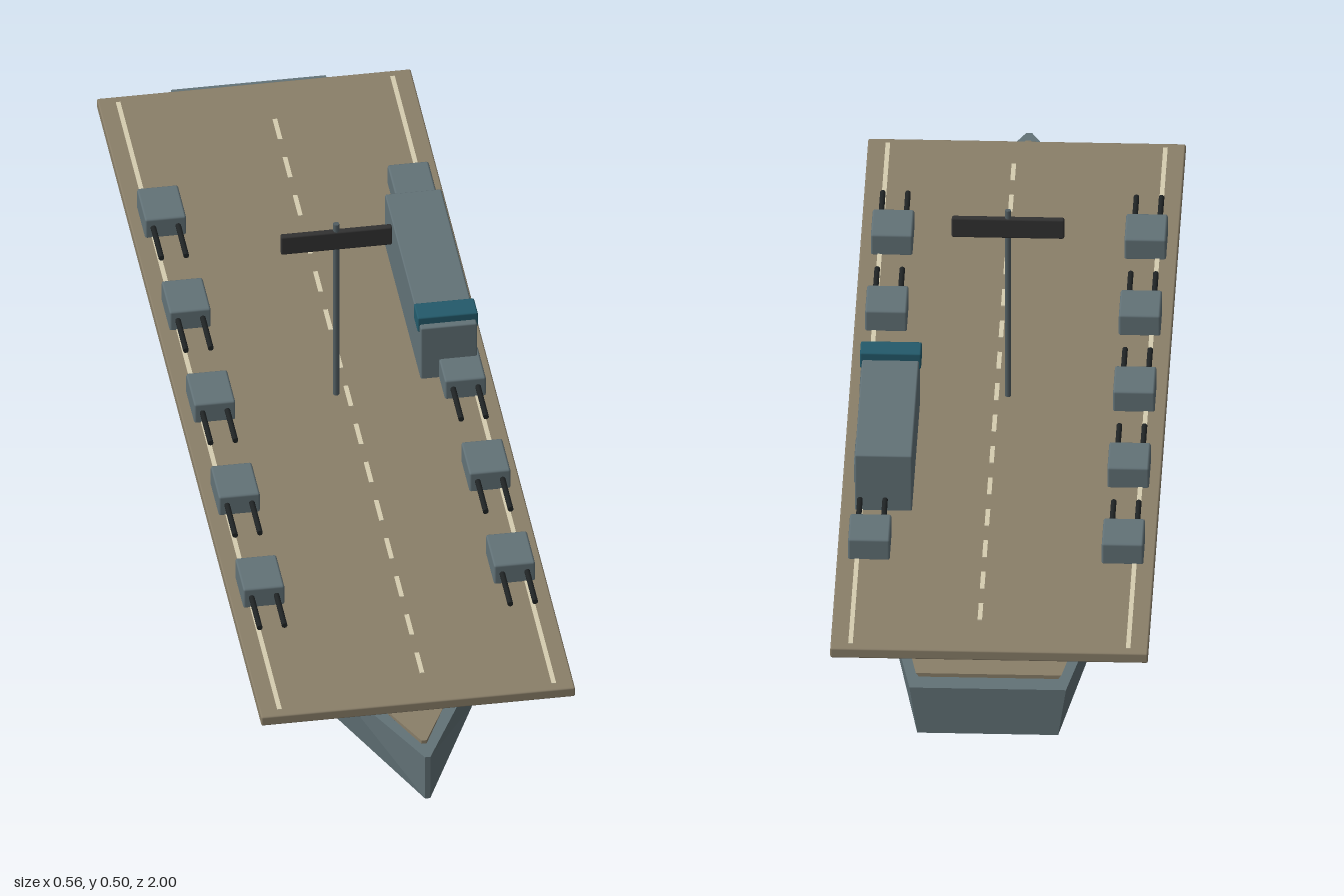
import * as THREE from 'three';
import { RoundedBoxGeometry } from 'three/addons/geometries/RoundedBoxGeometry.js';

const mat = (name, color) => {
  const m = new THREE.MeshStandardMaterial({ color });
  m.name = name;
  return m;
};

export function createModel() {
  const ship = new THREE.Group();
  ship.name = 'aircraftCarrier';
  const grey = mat('hull grey', 0x627277);
  const tan = mat('deck tan', 0x8a7f69);
  const teal = mat('bridge teal', 0x235a6b);
  const dark = mat('radar black', 0x323232);
  const gunmetal = mat('barrel black', 0x1f2324);
  const cream = mat('marking cream', 0xd6cdb0);
  const steel = mat('mast steel', 0x525e62);

  const add = (parent, name, geometry, material, x = 0, y = 0, z = 0) => {
    const mesh = new THREE.Mesh(geometry, material);
    mesh.name = name;
    mesh.position.set(x, y, z);
    parent.add(mesh);
    return mesh;
  };
  const box = (w, h, d, r = 0.003) =>
    r ? new RoundedBoxGeometry(w, h, d, 1, r) : new THREE.BoxGeometry(w, h, d);

  // Hull plan, starboard half from bow to stern; mirrored to close the outline
  const half = [[0.005, 1], [0.135, 0.74], [0.205, 0.25], [0.205, -0.6], [0.137, -1]];
  const plan = [...half, ...half.map(([x, z]) => [-x, z]).reverse()];

  // Extrude the plan upward, narrowing the bottom by a factor
  const planGeometry = (sx, sz, height, bottom) => {
    const shape = new THREE.Shape(plan.map(([x, z]) => new THREE.Vector2(x * sx, -z * sz)));
    const g = new THREE.ExtrudeGeometry(shape, { depth: height, bevelEnabled: false });
    g.rotateX(-Math.PI / 2);
    const p = g.attributes.position;
    for (let i = 0; i < p.count; i++) {
      if (p.getY(i) < height / 2) p.setX(i, p.getX(i) * bottom);
    }
    g.computeVertexNormals();
    return g;
  };
  add(ship, 'hull', planGeometry(1, 1, 0.09, 0.9), grey);
  add(ship, 'lowerDeck', planGeometry(0.93, 0.96, 0.008, 0.95), tan, 0, 0.089, 0);

  // Flight deck with its painted lines
  add(ship, 'flightDeck', box(0.556, 0.019, 1.836), tan, 0, 0.1225, -0.022);
  for (const side of [-1, 1]) {
    add(ship, 'edgeLine', box(0.008, 0.002, 1.8, 0), cream, side * 0.243, 0.1325, -0.022);
  }
  for (let i = 0; i < 15; i++) {
    add(ship, 'centreDash', box(0.008, 0.002, 0.06, 0), cream, 0.02, 0.1325, -0.8 + i * 0.113);
  }

  // Posts and ledges under the flight deck
  for (const side of [-1, 1]) {
    for (const z of [0.62, 0.19, -0.24, -0.67]) {
      add(ship, 'deckPost', new THREE.CylinderGeometry(0.012, 0.012, 0.025, 12), steel,
        side * 0.061, 0.102, z);
    }
    for (const z of [0.115, -0.43]) {
      add(ship, 'deckLedge', box(0.06, 0.009, 0.095, 0), steel, side * 0.195, 0.1095, z);
    }
  }

  // Twin gun turrets along both edges, each on a round sponson
  for (const side of [-1, 1]) {
    for (let i = 0; i < 5; i++) {
      const turret = new THREE.Group();
      turret.name = 'gunTurret';
      turret.position.set(side * 0.222, 0, -0.57 + i * 0.274);
      add(turret, 'sponson', new THREE.CylinderGeometry(0.043, 0.043, 0.018, 20), grey, 0, 0.106, 0);
      add(turret, 'turretHouse', box(0.073, 0.042, 0.095, 0.004), grey, 0, 0.15, 0);
      for (const s of [-1, 1]) {
        const barrel = add(turret, 'gunBarrel', new THREE.CylinderGeometry(0.005, 0.005, 0.11, 10),
          gunmetal, s * 0.022, 0.153, 0.083);
        barrel.rotation.x = Math.PI / 2;
      }
      ship.add(turret);
    }
  }

  // Island and bridge
  add(ship, 'island', box(0.1, 0.115, 0.4), grey, 0.203, 0.1835, -0.24);
  add(ship, 'bridge', box(0.107, 0.031, 0.045), teal, 0.203, 0.2395, -0.075);

  // Mast and radar
  add(ship, 'mast', new THREE.CylinderGeometry(0.0055, 0.0055, 0.393, 10), steel, 0, 0.3065, -0.02);
  add(ship, 'radarPanel', box(0.197, 0.038, 0.013), dark, 0, 0.469, -0.02);

  return ship;
}
